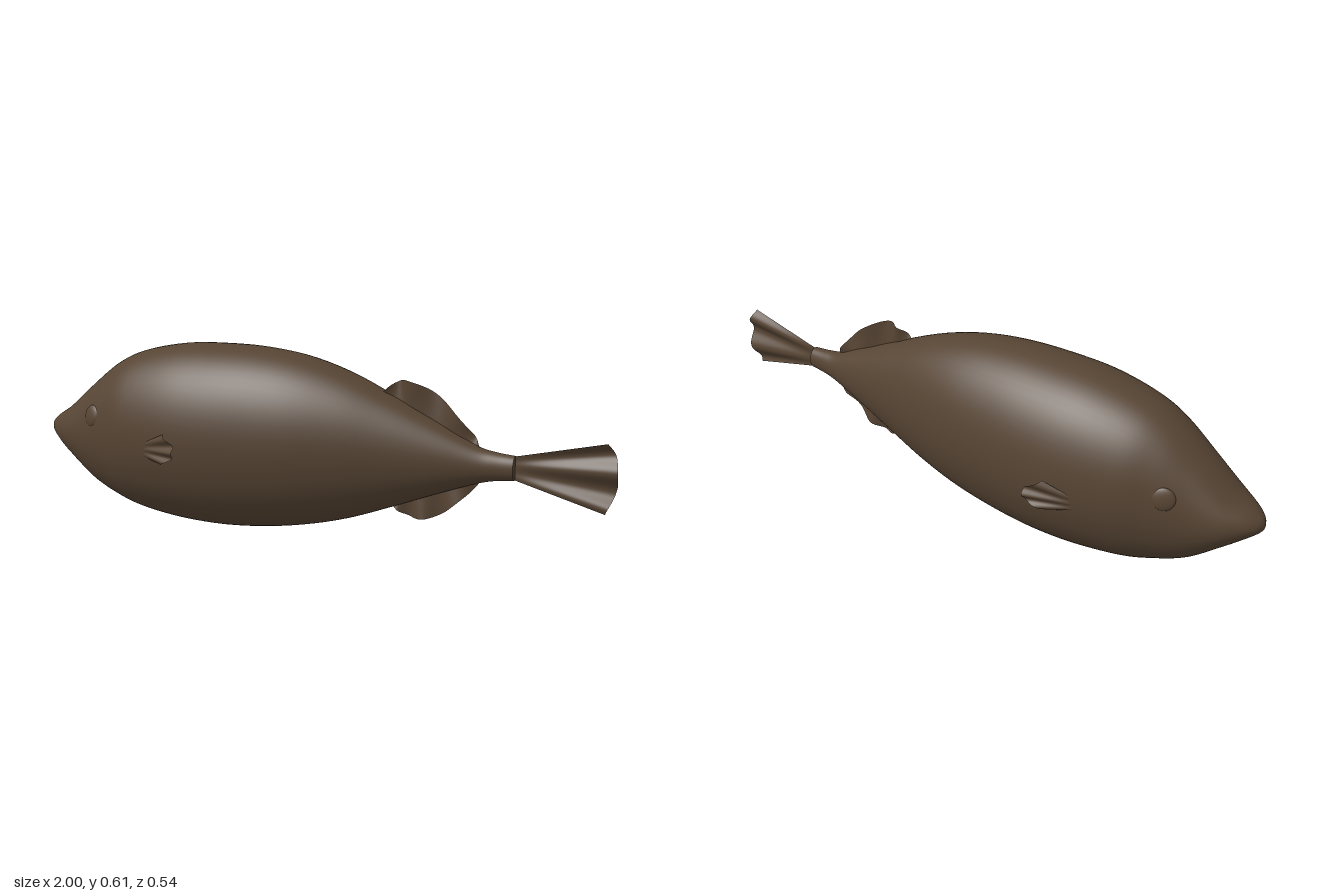
import * as THREE from 'three';

// Body stations: x, top y, bottom y, half width
const STATIONS = [
  [-1, 0.295, 0.272, 0.012], [-0.99, 0.31, 0.26, 0.032], [-0.96, 0.332, 0.235, 0.063],
  [-0.9, 0.37, 0.185, 0.1], [-0.8, 0.455, 0.102, 0.132], [-0.7, 0.53, 0.055, 0.165],
  [-0.6, 0.573, 0.027, 0.198], [-0.45, 0.603, 0.007, 0.221], [-0.3, 0.61, 0.002, 0.225],
  [-0.15, 0.606, 0.012, 0.215], [0, 0.585, 0.035, 0.195], [0.15, 0.541, 0.073, 0.16],
  [0.3, 0.475, 0.127, 0.118], [0.45, 0.402, 0.185, 0.077], [0.57, 0.345, 0.228, 0.045],
  [0.63, 0.331, 0.243, 0.034], [0.69, 0.325, 0.25, 0.028],
];

// Grid surface from a rule p(u, v) -> [x, y, z]; wrap joins the v ends
function surface(p, nu, nv, wrap = false) {
  const pos = [], idx = [], cols = wrap ? nv : nv + 1;
  for (let i = 0; i <= nu; i++) {
    for (let j = 0; j < cols; j++) pos.push(...p(i / nu, j / nv));
  }
  for (let i = 0; i < nu; i++) {
    for (let j = 0; j < nv; j++) {
      const k = (j + 1) % cols;
      const a = i * cols + j, b = i * cols + k, c = a + cols, d = b + cols;
      idx.push(a, b, c, b, d, c);
    }
  }
  const g = new THREE.BufferGeometry();
  g.setAttribute('position', new THREE.Float32BufferAttribute(pos, 3));
  g.setIndex(idx);
  g.computeVertexNormals();
  return g;
}

const curve = (points) => new THREE.CatmullRomCurve3(
  points.map(([x, y, z = 0]) => new THREE.Vector3(x, y, z)), false, 'catmullrom', 0.5);

// Fin spanning a root curve and an edge curve, rippled in z towards the edge
function finGeometry(root, edge, ripples, depth) {
  const r = curve(root), e = curve(edge);
  return surface((u, v) => {
    const p = r.getPoint(u).lerp(e.getPoint(u), v);
    p.z += depth * v * Math.sin(u * ripples * Math.PI * 2 + 0.6);
    return [p.x, p.y, p.z];
  }, 48, 10);
}

export function createModel() {
  const model = new THREE.Group();
  // Double sided because the fins are open sheets
  const skin = new THREE.MeshStandardMaterial({ color: 0x564433, side: THREE.DoubleSide });
  skin.name = 'brown skin';

  const add = (name, geometry) => {
    const mesh = new THREE.Mesh(geometry, skin);
    mesh.name = name;
    model.add(mesh);
    return mesh;
  };

  // Body: smooth elliptical sections along x
  const heights = curve(STATIONS.map(([x, t, b]) => [x, t, b]));
  const widths = curve(STATIONS.map(([x, , , w]) => [x, w]));
  add('body', surface((u, v) => {
    const h = heights.getPoint(u), w = widths.getPoint(u).y, a = v * Math.PI * 2;
    return [h.x, (h.y + h.z) / 2 + Math.cos(a) * (h.y - h.z) / 2, Math.sin(a) * w];
  }, 96, 64, true));

  // Closed ends of the body
  const cap = (name, [x, top, bottom, w], turn) => {
    const mesh = add(name, new THREE.CircleGeometry(1, 32));
    mesh.scale.set(w, (top - bottom) / 2, 1);
    mesh.rotation.y = turn;
    mesh.position.set(x, (top + bottom) / 2, 0);
  };
  cap('snoutTip', STATIONS[0], -Math.PI / 2);
  cap('tailStump', STATIONS[STATIONS.length - 1], Math.PI / 2);

  // Tail fin
  add('tailFin', finGeometry(
    [[0.685, 0.252], [0.685, 0.288], [0.685, 0.323]],
    [[0.965, 0.178], [0.985, 0.225], [0.998, 0.285], [0.99, 0.34], [0.965, 0.388]],
    2, 0.014));

  // Fins above and below the tail root
  add('dorsalFin', finGeometry(
    [[0.25, 0.48], [0.35, 0.43], [0.47, 0.37], [0.58, 0.325]],
    [[0.265, 0.492], [0.3, 0.52], [0.34, 0.53], [0.41, 0.507], [0.49, 0.45], [0.55, 0.385], [0.578, 0.345]],
    3, 0.011));
  add('analFin', finGeometry(
    [[0.29, 0.14], [0.37, 0.17], [0.47, 0.21], [0.58, 0.25]],
    [[0.305, 0.125], [0.34, 0.103], [0.4, 0.097], [0.46, 0.12], [0.53, 0.178], [0.578, 0.228]],
    3, 0.01));

  for (const side of [1, -1]) {
    const label = side > 0 ? 'left' : 'right';
    // Pectoral fins fan backwards and outwards
    const r = curve([[-0.5, 0.255, 0.21], [-0.5, 0.275, 0.211], [-0.5, 0.295, 0.21]]);
    const e = curve([[-0.41, 0.237, 0.236], [-0.365, 0.26, 0.262], [-0.347, 0.285, 0.264],
      [-0.36, 0.312, 0.262], [-0.4, 0.338, 0.238]]);
    add(label + 'PectoralFin', surface((u, v) => {
      const p = r.getPoint(u).lerp(e.getPoint(u), v);
      const wave = 0.008 * v * Math.sin(u * Math.PI * 5);
      return [p.x - wave * 0.4, p.y, side * (p.z + wave)];
    }, 32, 8));

    // Eyes: low domes almost flush with the head
    const eye = add(label + 'Eye', new THREE.SphereGeometry(0.036, 24, 16));
    eye.scale.z = 0.3;
    eye.rotation.set(-side * 0.2, -side * 0.32, 0);
    eye.position.set(-0.745, 0.355, side * 0.138);
  }
  return model;
}
